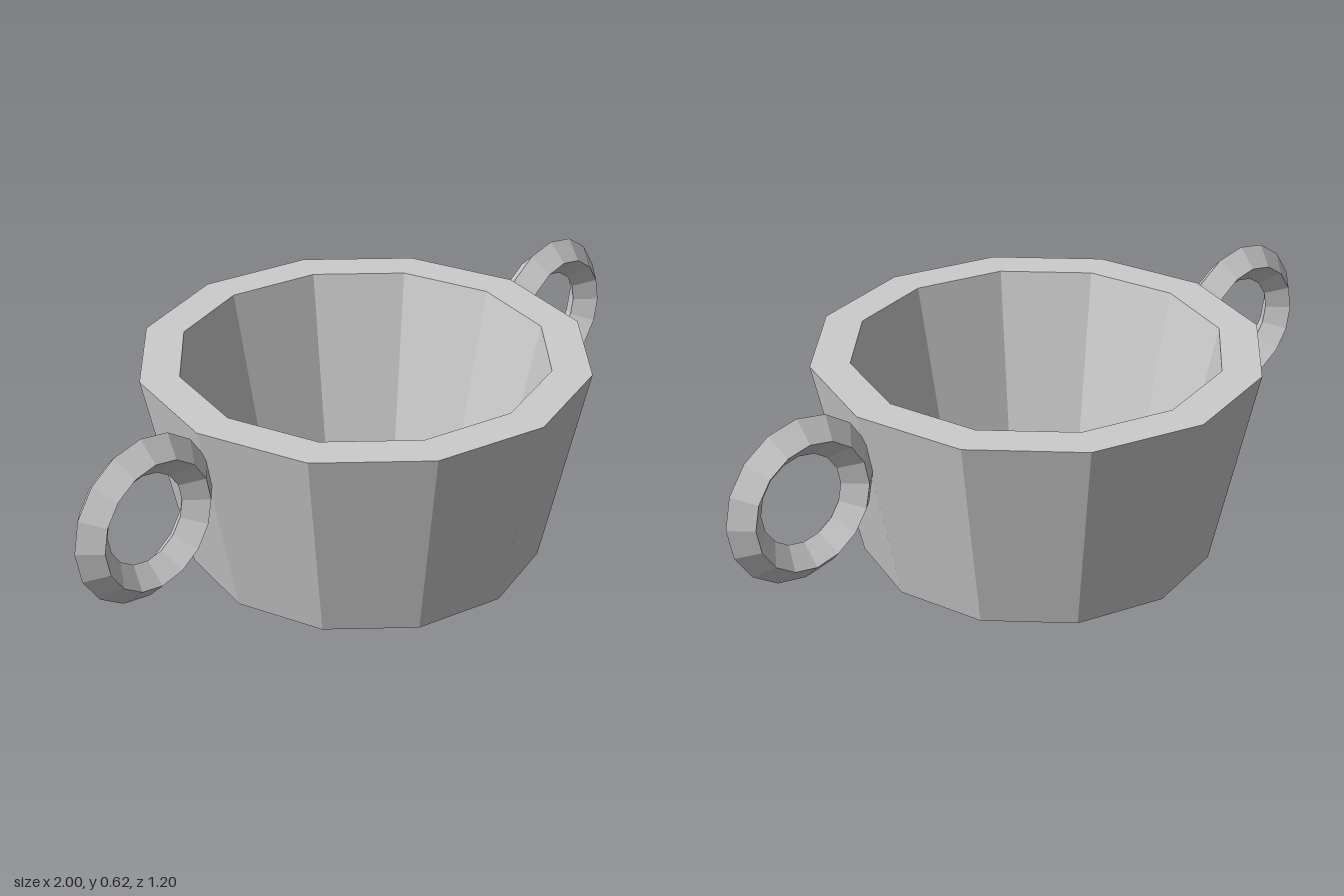
import * as THREE from 'three';

export function createModel() {
  const model = new THREE.Group();
  model.name = 'twoHandledPot';

  const grey = new THREE.MeshStandardMaterial({ color: 0xcccccc, flatShading: true });
  grey.name = 'light grey';

  // Tapered twelve-sided bowl: underside, outer wall, rim, inner wall, floor
  const profile = [
    [0, 0], [0.48, 0], [0.6, 0.56], [0.495, 0.56], [0.39, 0.07], [0, 0.07],
  ].map(([r, y]) => new THREE.Vector2(r, y));
  const bowl = new THREE.Mesh(new THREE.LatheGeometry(profile, 12), grey);
  bowl.name = 'bowl';
  model.add(bowl);

  // Ring handles with a diamond cross-section, one on each side
  const ring = new THREE.TorusGeometry(0.171, 0.051, 4, 16);
  for (const [name, side] of [['leftHandle', 1], ['rightHandle', -1]]) {
    const handle = new THREE.Mesh(ring, grey);
    handle.name = name;
    handle.position.set(side * 0.778, 0.395, 0);
    model.add(handle);
  }

  return model;
}
